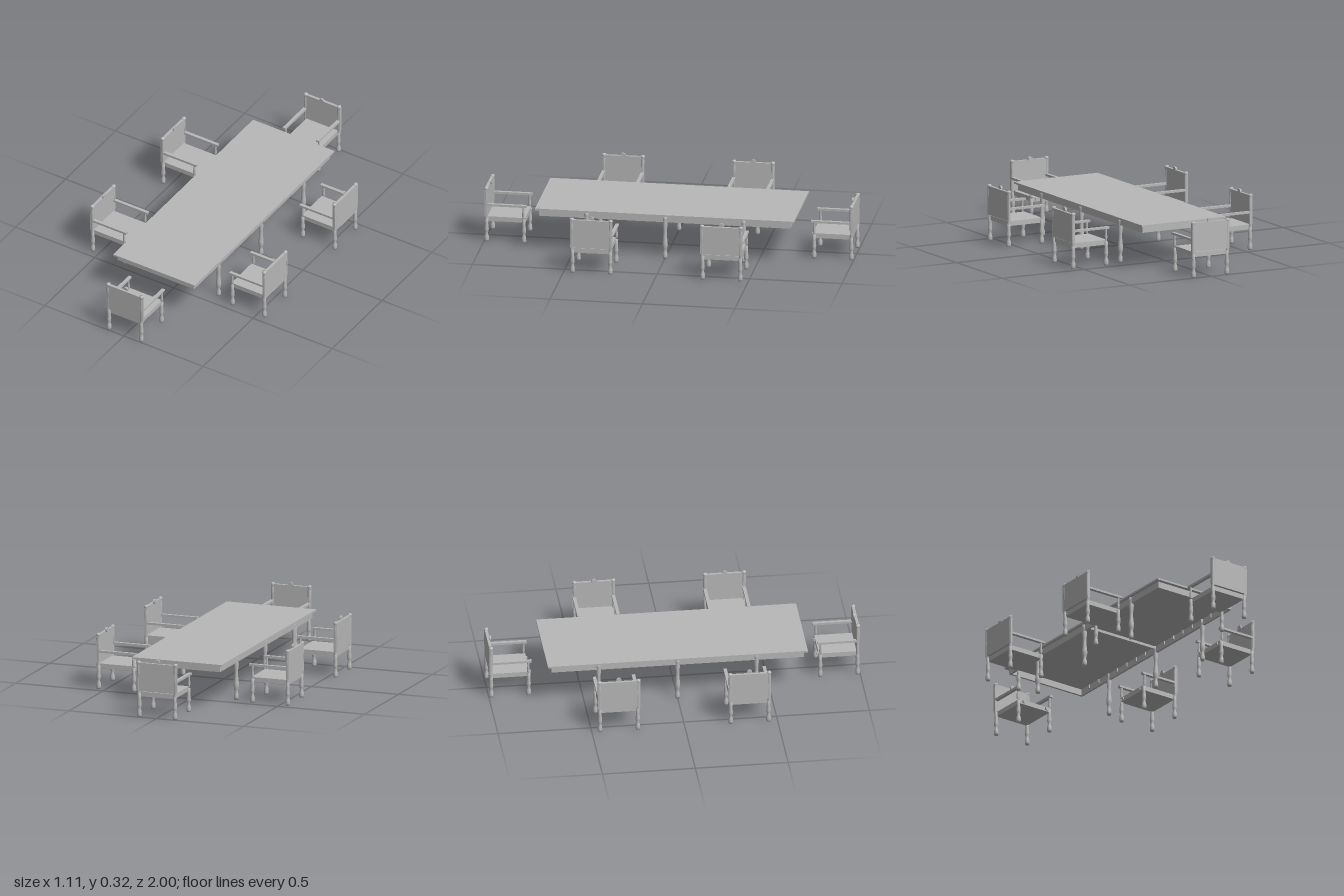
import * as THREE from 'three';

const wood = new THREE.MeshStandardMaterial({ color: 0xb8b8b8 });
wood.name = 'greyWood';

function add(parent, name, geometry, x, y, z) {
  const mesh = new THREE.Mesh(geometry, wood);
  mesh.name = name;
  mesh.position.set(x, y, z);
  parent.add(mesh);
  return mesh;
}

// Box given by its lower and upper bounds on each axis
function box(parent, name, x0, x1, y0, y1, z0, z1) {
  return add(parent, name, new THREE.BoxGeometry(x1 - x0, y1 - y0, z1 - z0),
    (x0 + x1) / 2, (y0 + y1) / 2, (z0 + z1) / 2);
}

// Turned part from [radius, height] pairs
function turned(profile) {
  return new THREE.LatheGeometry(profile.map(([r, y]) => new THREE.Vector2(r, y)), 14);
}

const tableLeg = turned([[0, 0], [0.011, 0], [0.013, 0.012], [0.012, 0.03], [0.008, 0.045],
  [0.011, 0.055], [0.015, 0.075], [0.014, 0.09], [0.01, 0.13], [0.01, 0.16], [0.014, 0.195],
  [0.01, 0.208], [0.013, 0.22], [0.013, 0.24], [0, 0.24]]);
const chairLeg = turned([[0, 0], [0.01, 0], [0.013, 0.01], [0.012, 0.03], [0.007, 0.046],
  [0.011, 0.054], [0.012, 0.07], [0.009, 0.1], [0.01, 0.13], [0, 0.13]]);
const backPost = turned([[0.009, 0], [0.01, 0.1], [0.011, 0.155], [0.008, 0.162],
  [0.012, 0.17], [0.011, 0.179], [0, 0.182]]);
const armPost = turned([[0.005, 0], [0.008, 0.02], [0.005, 0.04], [0.007, 0.065]]);
const knob = new THREE.CylinderGeometry(0.014, 0.014, 0.01, 20).rotateX(Math.PI / 2);

function createTable() {
  const table = new THREE.Group();
  table.name = 'table';
  box(table, 'tableTop', -0.257, 0.257, 0.24, 0.25, -0.7, 0.7);
  for (const s of [-1, 1]) {
    const x = s * 0.235, z = s * 0.673;
    box(table, 'sideApron', x - 0.006, x + 0.006, 0.205, 0.24, -0.68, 0.68);
    box(table, 'endApron', -0.229, 0.229, 0.205, 0.24, z - 0.006, z + 0.006);
    // small blocks behind the side apron
    for (let i = -7; i <= 7; i++) {
      if (i === 0) continue;
      const bz = i * 0.085;
      box(table, 'apronBlock', x - s * 0.009 - 0.004, x - s * 0.009 + 0.004, 0.218, 0.24, bz - 0.006, bz + 0.006);
    }
    for (const lz of [-0.425, 0, 0.425]) add(table, 'tableLeg', tableLeg, x, 0, lz);
  }
  box(table, 'crossRail', -0.229, 0.229, 0.225, 0.24, -0.006, 0.006);
  return table;
}

// Armchair with its back plane at z = 0 and its seat towards -z
function createChair() {
  const chair = new THREE.Group();
  chair.name = 'armchair';
  box(chair, 'seat', -0.1, 0.1, 0.112, 0.138, -0.222, -0.012);
  box(chair, 'backPanel', -0.114, 0.114, 0.142, 0.298, -0.019, -0.004);
  add(chair, 'backKnob', knob, 0, 0.302, -0.02);
  for (const s of [-1, 1]) {
    const x = s * 0.105;
    add(chair, 'frontLeg', chairLeg, s * 0.102, 0, -0.215);
    add(chair, 'backLeg', chairLeg, s * 0.102, 0, -0.013);
    add(chair, 'backPost', backPost, x, 0.125, -0.012);
    add(chair, 'armPost', armPost, x, 0.137, -0.213);
    box(chair, 'armrest', x - 0.009, x + 0.009, 0.2, 0.212, -0.23, -0.012);
    box(chair, 'armTenon', s * 0.102 - 0.002, s * 0.102 + 0.002, 0.212, 0.245, -0.022, -0.002);
    box(chair, 'seatPeg', s * 0.075 - 0.006, s * 0.075 + 0.006, 0.118, 0.132, -0.23, -0.22);
  }
  return chair;
}

export function createModel() {
  const model = new THREE.Group();
  model.name = 'diningSet';
  model.add(createTable());
  // [x, z, turn] of each chair back
  const places = [[0, 1, 0], [0, -1, Math.PI]];
  for (const s of [-1, 1])
    for (const z of [-0.354, 0.35]) places.push([s * 0.555, z, s * Math.PI / 2]);
  for (const [x, z, turn] of places) {
    const chair = createChair();
    chair.position.set(x, 0, z);
    chair.rotation.y = turn;
    model.add(chair);
  }
  return model;
}
